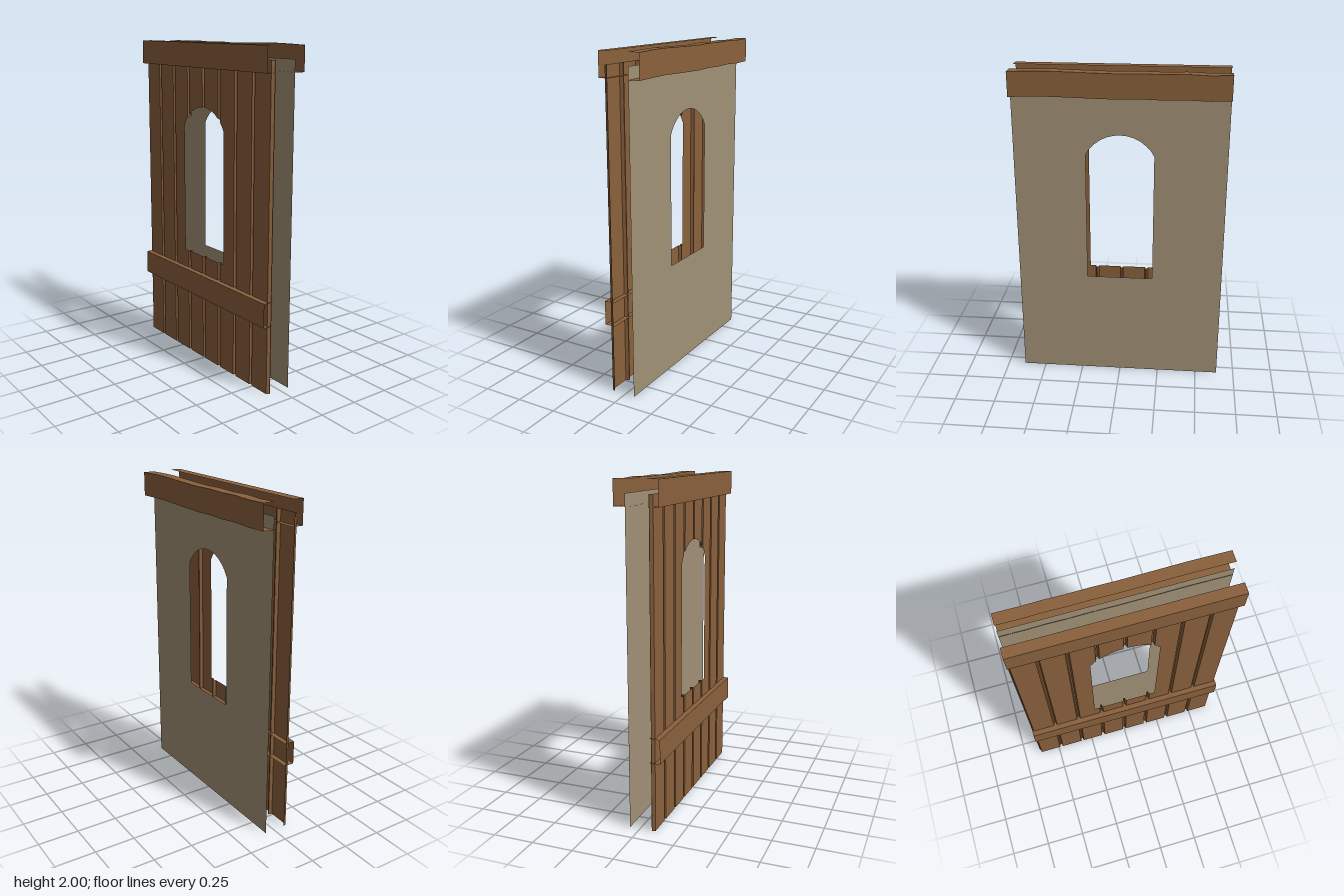
import * as THREE from 'three';

const wood = new THREE.MeshStandardMaterial({ color: 0x8a613c, side: THREE.DoubleSide });
wood.name = 'brown wood';
const plaster = new THREE.MeshStandardMaterial({ color: 0xa29277, side: THREE.DoubleSide });
plaster.name = 'grey plaster';

const HALF = 0.64, TOP = 1.92;
const WIN = { half: 0.205, sill: 0.68, arcY: 1.385, r: 0.23 };
const archY = x => WIN.arcY + Math.sqrt(WIN.r ** 2 - x * x);

// Flat-shaded mesh from a list of four-cornered faces
function quadMesh(name, quads, material) {
  const pos = [];
  for (const [a, b, c, d] of quads) pos.push(...a, ...b, ...c, ...a, ...c, ...d);
  const g = new THREE.BufferGeometry();
  g.setAttribute('position', new THREE.Float32BufferAttribute(pos, 3));
  g.computeVertexNormals();
  const mesh = new THREE.Mesh(g, material);
  mesh.name = name;
  return mesh;
}

// Upright sheet following an (x, z) profile, with the arched window left open
function sheet(name, profile, material, facing) {
  const quads = [];
  for (let i = 0; i < profile.length - 1; i++) {
    const [x0, z0] = profile[i], [x1, z1] = profile[i + 1];
    const add = (b0, b1, t0, t1) => {
      const q = [[x0, b0, z0], [x1, b1, z1], [x1, t1, z1], [x0, t0, z0]];
      quads.push(facing > 0 ? q : q.reverse());
    };
    if (Math.abs((x0 + x1) / 2) < WIN.half) {
      add(0, 0, WIN.sill, WIN.sill);
      add(archY(x0), archY(x1), TOP, TOP);
    } else add(0, 0, TOP, TOP);
  }
  return quadMesh(name, quads, material);
}

// Open-backed beam: top, outer face and bottom, swept along x
function beam(name, y0, y1, zIn, zOut, wobble) {
  const quads = [], n = wobble.length - 1;
  const section = i => {
    const x = -HALF + 2 * HALF * i / n, d = wobble[i];
    return [[x, y0 + d, zIn], [x, y0 + d, zOut], [x, y1 + d, zOut], [x, y1 + d, zIn]];
  };
  for (let i = 0; i < n; i++) {
    const a = section(i), b = section(i + 1);
    for (let k = 0; k < 3; k++) {
      const q = [a[k], b[k], b[k + 1], a[k + 1]];
      quads.push(zOut > zIn ? q : q.reverse());
    }
  }
  return quadMesh(name, quads, wood);
}

export function createModel() {
  const group = new THREE.Group();
  group.name = 'wallPanel';

  // Window outline samples shared by both sheets
  const cuts = [];
  for (const x of [0.04, 0.08, 0.12, 0.185, WIN.half]) cuts.push(-x, x);

  // Eight planks joined by narrow grooves
  const zFront = 0.095, zDeep = 0.075, pitch = 0.16;
  const planks = cuts.map(x => [x, zFront]);
  for (let i = 0; i <= 8; i++) {
    const c = -HALF + i * pitch;
    for (const [dx, z] of [[-0.011, zFront], [-0.004, zDeep], [0.004, zDeep], [0.011, zFront]]) {
      if (Math.abs(c + dx) < HALF) planks.push([c + dx, z]);
    }
  }
  planks.push([-HALF, zDeep], [HALF, zDeep]);
  planks.sort((a, b) => a[0] - b[0]);
  group.add(sheet('plankFacing', planks, wood, 1));

  // Plastered rear sheet
  const rear = [-HALF, -0.16, 0, 0.16, HALF, ...cuts].sort((a, b) => a - b).map(x => [x, -0.062]);
  group.add(sheet('plasterBack', rear, plaster, -1));

  // Beams: two straight ones in front, a slightly uneven one behind
  group.add(beam('frontTopBeam', 1.85, 1.996, 0.064, 0.128, [0, 0]));
  group.add(beam('frontMiddleBeam', 0.42, 0.566, 0.064, 0.128, [0, 0]));
  group.add(beam('backTopBeam', 1.85, 1.996, -0.06, -0.13,
    [0, -0.004, 0.001, -0.003, 0, -0.004, -0.002, 0.001, 0.004, 0.002, -0.002]));
  return group;
}
